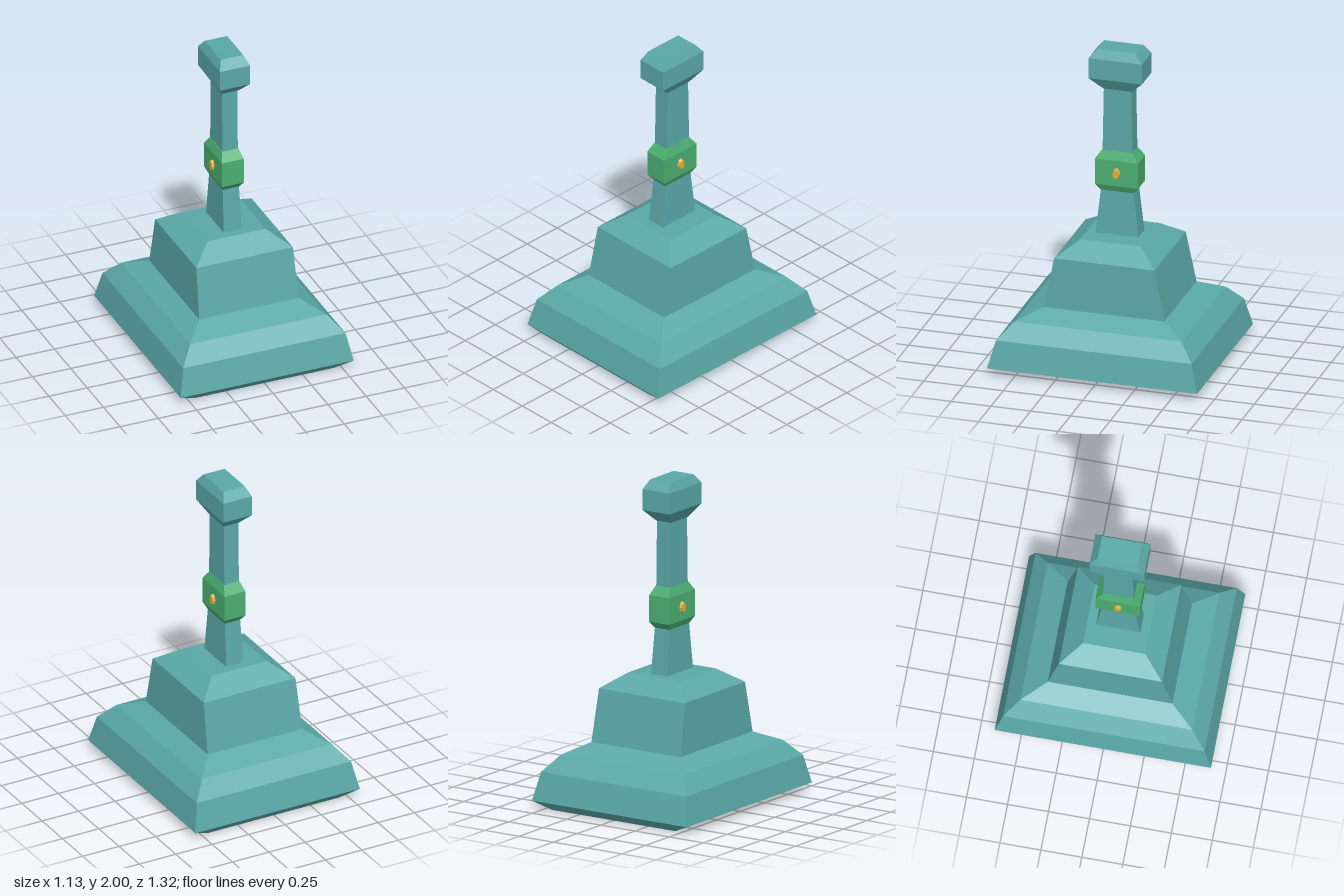
import * as THREE from 'three';

const material = (color) => new THREE.MeshStandardMaterial({ color, flatShading: true });

// Closed solid lofted through rectangles, each level given as [y, half width, half depth]
function rectLoft(levels) {
  const corners = [[1, 1], [1, -1], [-1, -1], [-1, 1]];
  const positions = [];
  const index = [];
  for (const [y, hx, hz] of levels) {
    for (const [sx, sz] of corners) positions.push(sx * hx, y, sz * hz);
  }
  for (let level = 0; level < levels.length - 1; level++) {
    for (let i = 0; i < 4; i++) {
      const a = level * 4 + i;
      const b = level * 4 + (i + 1) % 4;
      index.push(a, b, b + 4, a, b + 4, a + 4);
    }
  }
  const t = (levels.length - 1) * 4;
  index.push(0, 2, 1, 0, 3, 2, t, t + 1, t + 2, t, t + 2, t + 3);
  const indexed = new THREE.BufferGeometry();
  indexed.setAttribute('position', new THREE.Float32BufferAttribute(positions, 3));
  indexed.setIndex(index);
  const geometry = indexed.toNonIndexed();
  geometry.computeVertexNormals();
  return geometry;
}

export function createModel() {
  const group = new THREE.Group();
  const teal = material(0x5ba8a8);
  const green = material(0x4caf72);
  const gold = material(0xe0b040);

  const add = (name, geometry, mat) => {
    const mesh = new THREE.Mesh(geometry, mat);
    mesh.name = name;
    group.add(mesh);
    return mesh;
  };

  // Wide bevelled foot and the tapered block on it
  add('base', rectLoft([
    [0, 0.45, 0.615], [0.05, 0.565, 0.66], [0.225, 0.53, 0.615],
    [0.325, 0.445, 0.525], [0.39, 0.325, 0.38],
    [0.71, 0.315, 0.315], [0.8, 0.19, 0.19],
  ]), teal);

  // Slim post, flaring towards its foot
  add('shaft', rectLoft([
    [0.79, 0.06, 0.136], [1.08, 0.053, 0.104], [1.34, 0.05, 0.094], [1.75, 0.05, 0.086],
  ]), teal);

  // Bevelled band around the post
  add('collar', rectLoft([
    [1.08, 0.053, 0.104], [1.12, 0.072, 0.136], [1.285, 0.072, 0.136], [1.34, 0.053, 0.094],
  ]), green);

  // Bevelled cap
  add('head', rectLoft([
    [1.74, 0.052, 0.09], [1.815, 0.098, 0.168], [1.945, 0.098, 0.168], [2, 0.073, 0.123],
  ]), teal);

  // Oval studs on both sides of the collar
  for (const side of [1, -1]) {
    const geometry = new THREE.CylinderGeometry(0.03, 0.043, 0.03, 8);
    geometry.scale(1, 1, 0.66);
    geometry.rotateZ(-side * Math.PI / 2);
    geometry.translate(side * 0.074, 1.203, 0);
    add(side > 0 ? 'leftStud' : 'rightStud', geometry, gold);
  }
  return group;
}
